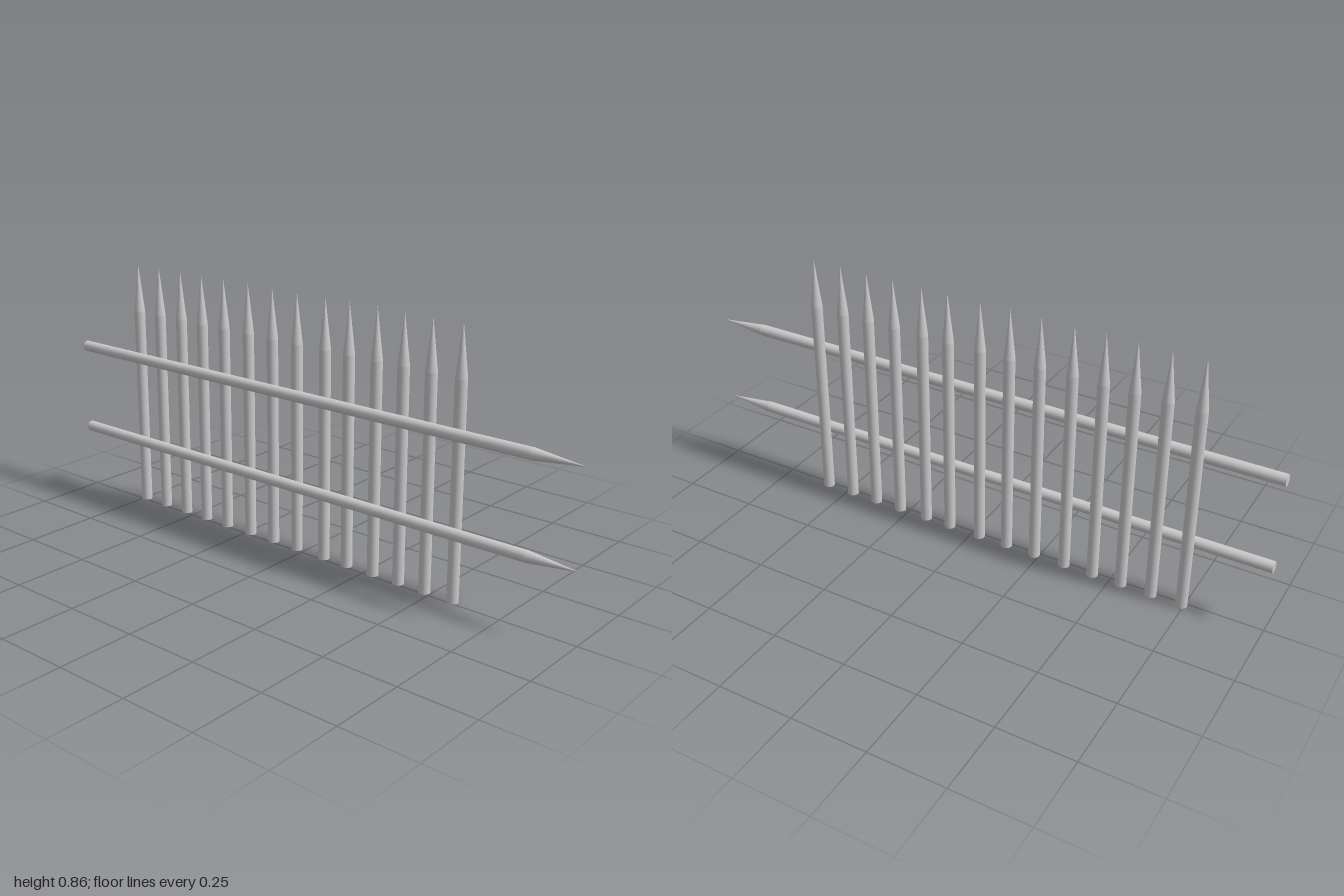
import * as THREE from 'three';

const RADIUS = 0.0185, TIP = 0.165, SIDES = 20;
const material = new THREE.MeshStandardMaterial({ color: 0xcccccc });

// Round stake standing on the origin: a straight shaft with a long pointed end
function makeStake(name, length) {
  const stake = new THREE.Group();
  stake.name = name;
  const body = length - TIP;
  const shaft = new THREE.Mesh(new THREE.CylinderGeometry(RADIUS, RADIUS, body, SIDES), material);
  shaft.name = name + 'Shaft';
  shaft.position.y = body / 2;
  const point = new THREE.Mesh(new THREE.ConeGeometry(RADIUS, TIP, SIDES, 1, true), material);
  point.name = name + 'Point';
  point.position.y = body + TIP / 2;
  stake.add(shaft, point);
  return stake;
}

export function createModel() {
  const fence = new THREE.Group();
  fence.name = 'palisadeFence';

  // Upright pickets, slightly unevenly spaced
  const picketZ = [0.58, 0.478, 0.38, 0.282, 0.178, 0.085, -0.028,
    -0.13, -0.233, -0.34, -0.44, -0.538, -0.64, -0.742];
  for (const z of picketZ) {
    const picket = makeStake('picket', 0.858);
    picket.position.set(0.0122, 0, z);
    fence.add(picket);
  }

  // Two horizontal rails, pointed toward the front
  for (const [name, y] of [['lowerRail', 0.228], ['upperRail', 0.531]]) {
    const rail = makeStake(name, 2);
    rail.rotation.x = Math.PI / 2;
    rail.position.set(-0.0128, y, -1);
    fence.add(rail);
  }
  return fence;
}
